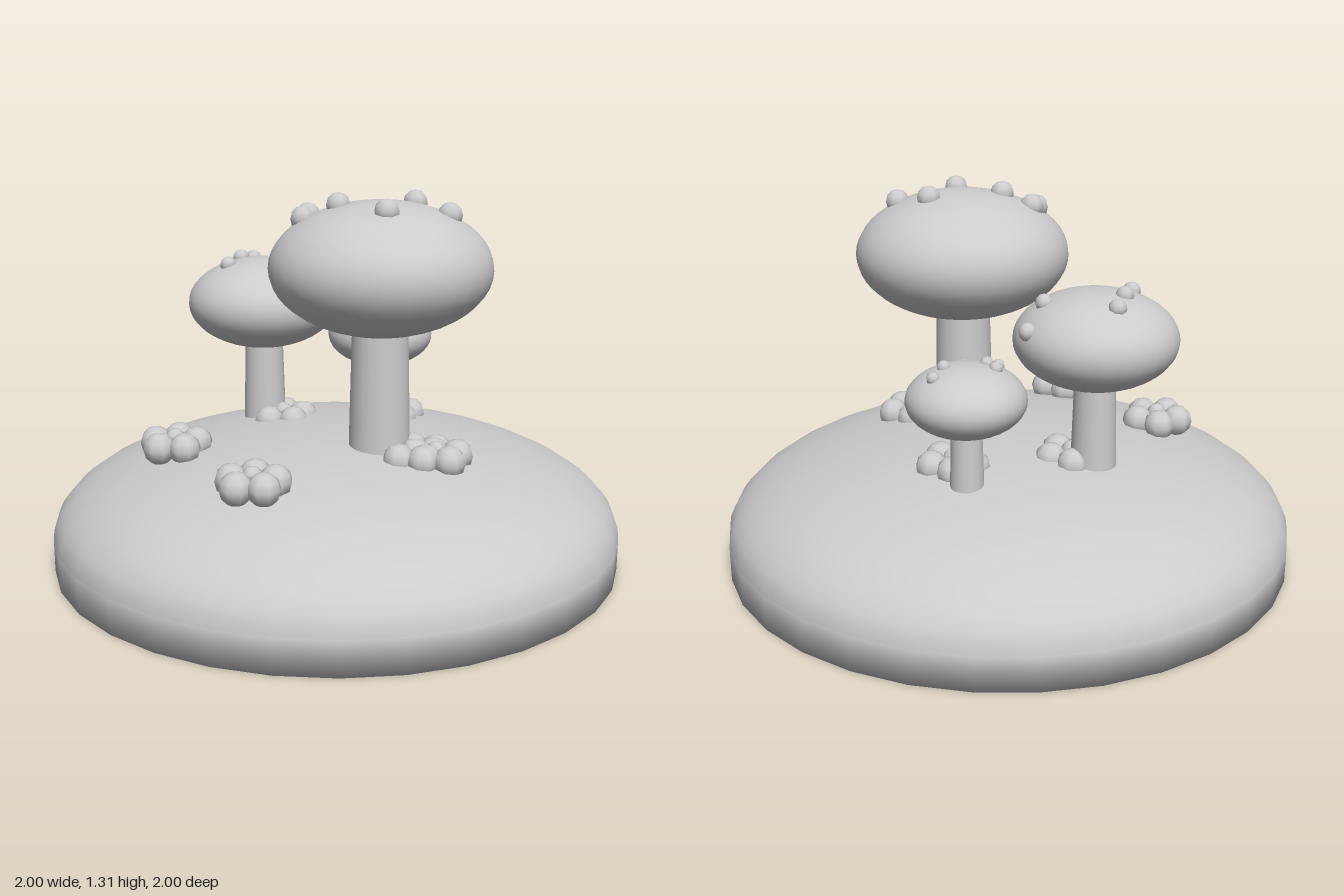
import * as THREE from 'three';

const clay = new THREE.MeshStandardMaterial({ color: 0xcccccc });
clay.name = 'pale grey';

function add(parent, name, geometry, x = 0, y = 0, z = 0) {
  const mesh = new THREE.Mesh(geometry, clay);
  mesh.name = name;
  mesh.position.set(x, y, z);
  parent.add(mesh);
  return mesh;
}

// One mushroom: tapered stem, ellipsoid cap, small spots sitting on the cap surface
function makeMushroom({ name, x, z, capY, rx, ry, stemTop, stemBottom, spotR, spots }) {
  const g = new THREE.Group();
  g.name = name;
  g.position.set(x, 0, z);
  const y0 = 0.34;
  add(g, 'stem', new THREE.CylinderGeometry(stemTop, stemBottom, capY - y0, 24), 0, (capY + y0) / 2, 0);
  add(g, 'cap', new THREE.SphereGeometry(1, 32, 24), 0, capY, 0).scale.set(rx, ry, rx);
  for (const [sx, sz] of spots) {
    const r = Math.hypot(sx - x, sz - z) / rx;
    const y = capY + ry * Math.sqrt(Math.max(0, 1 - r * r));
    add(g, 'spot', new THREE.SphereGeometry(spotR, 8, 6), sx - x, y, sz - z);
  }
  return g;
}

// One flower: five round petals around a small raised centre
function makeFlower(x, z) {
  const g = new THREE.Group();
  g.name = 'flower';
  g.position.set(x, 0.435, z);
  for (let i = 0; i < 5; i++) {
    const a = Math.PI + (i * Math.PI * 2) / 5;
    add(g, 'petal', new THREE.SphereGeometry(0.056, 8, 6), Math.cos(a) * 0.075, 0, Math.sin(a) * 0.075);
  }
  add(g, 'flowerCentre', new THREE.SphereGeometry(0.036, 8, 6), 0, 0.02, 0);
  return g;
}

export function createModel() {
  const model = new THREE.Group();
  model.name = 'mushroomMound';

  // Ground: low round slab with a shallow dome on top
  const slab = [[0, 0], [1, 0], [1, 0.12], [0.97, 0.13]].map(p => new THREE.Vector2(...p));
  add(model, 'slab', new THREE.LatheGeometry(slab, 32));
  const dome = [];
  for (let i = 0; i <= 16; i++) {
    const a = (i / 16) * Math.PI / 2;
    dome.push(new THREE.Vector2(i === 16 ? 0 : Math.cos(a), 0.12 + 0.34 * Math.sin(a)));
  }
  add(model, 'dome', new THREE.LatheGeometry(dome, 32));

  // Mushrooms, spots given as x, z
  const mushrooms = [
    {
      name: 'largeMushroom', x: 0.2, z: 0.1, capY: 1.06, rx: 0.375, ry: 0.225,
      stemTop: 0.09, stemBottom: 0.108, spotR: 0.043,
      spots: [[0.28, -0.015], [0.42, 0.045], [0.07, 0.155], [-0.04, 0.15], [-0.045, 0.185], [0.27, 0.24]],
    },
    {
      name: 'mediumMushroom', x: -0.35, z: -0.155, capY: 0.865, rx: 0.275, ry: 0.165,
      stemTop: 0.065, stemBottom: 0.08, spotR: 0.031,
      spots: [[-0.445, -0.27], [-0.445, -0.165], [-0.445, -0.06], [-0.17, -0.34], [-0.195, -0.235]],
    },
    {
      name: 'smallMushroom', x: 0, z: -0.45, capY: 0.713, rx: 0.197, ry: 0.118,
      stemTop: 0.048, stemBottom: 0.058, spotR: 0.023,
      spots: [[0.075, -0.545], [0.065, -0.475], [-0.09, -0.42], [-0.05, -0.39], [-0.065, -0.32], [0.06, -0.29]],
    },
  ];
  for (const m of mushrooms) model.add(makeMushroom(m));

  // Flowers scattered over the mound
  const flowers = [[-0.475, 0.315], [-0.045, 0.595], [0.41, 0.12], [0.33, 0.13], [-0.27, -0.14], [0.09, -0.33]];
  for (const [x, z] of flowers) model.add(makeFlower(x, z));

  return model;
}
